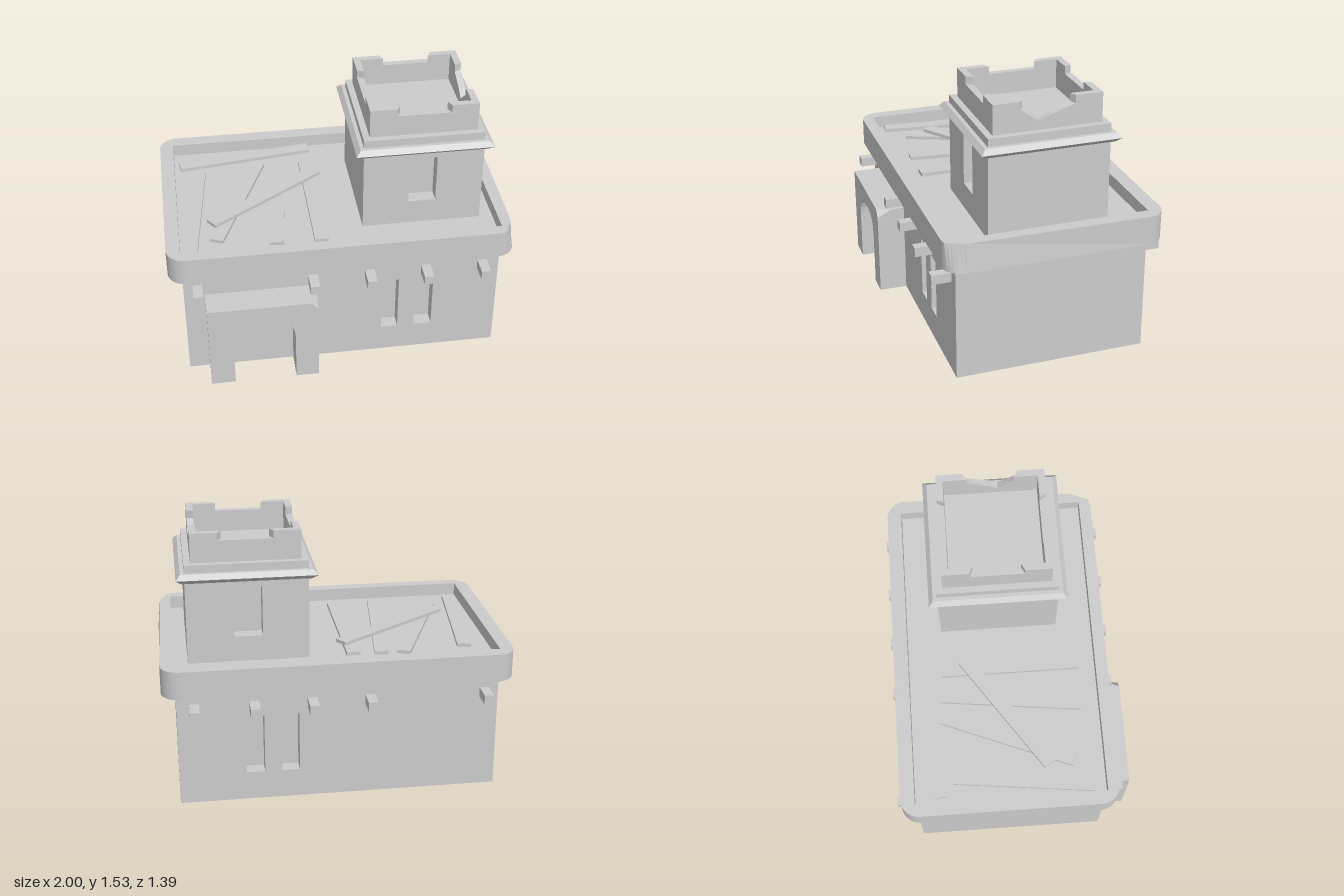
import * as THREE from 'three';

const grey = new THREE.MeshStandardMaterial({ color: 0xcccccc, flatShading: true, side: THREE.DoubleSide });
const PX = 0, NX = 1, PY = 2, NY = 3, PZ = 4, NZ = 5; // box sides

function add(parent, name, geometry, x = 0, y = 0, z = 0) {
  const mesh = new THREE.Mesh(geometry, grey);
  mesh.name = name;
  mesh.position.set(x, y, z);
  parent.add(mesh);
  return mesh;
}

// Box that keeps only the listed sides
function openBox(w, h, d, sides) {
  const g = new THREE.BoxGeometry(w, h, d);
  const index = Array.from(g.index.array);
  g.setIndex(sides.flatMap(s => index.slice(s * 6, s * 6 + 6)));
  g.clearGroups();
  return g;
}

function rectPath(x0, y0, x1, y1, Type = THREE.Path) {
  return new Type([[x0, y0], [x1, y0], [x1, y1], [x0, y1]].map(p => new THREE.Vector2(...p)));
}

// Hollow block whose front and back walls carry recessed windows
function windowedBlock(parent, name, b, windows) {
  const block = new THREE.Group();
  block.name = name;
  parent.add(block);
  const cz = (b.z0 + b.z1) / 2;
  add(block, name + 'Sides', openBox(b.x1 - b.x0, b.y1 - b.y0, b.z1 - b.z0, [PX, NX, PY]),
    (b.x0 + b.x1) / 2, (b.y0 + b.y1) / 2, cz);
  const depth = 0.08;
  for (const front of [true, false]) {
    const shape = rectPath(b.x0, b.y0, b.x1, b.y1, THREE.Shape);
    const z = front ? b.z1 : b.z0;
    for (const [x0, y0, x1, y1] of windows) {
      shape.holes.push(rectPath(x0, y0, x1, y1));
      // recess: inward-facing box without its outer side
      const g = openBox(x1 - x0, y1 - y0, depth, [PX, NX, PY, NY, front ? NZ : PZ]);
      add(block, 'windowRecess', g, (x0 + x1) / 2, (y0 + y1) / 2, z + (front ? -1 : 1) * depth / 2);
    }
    const wall = new THREE.ShapeGeometry(shape);
    if (!front) { // turn the back wall to face -z
      const i = wall.index.array;
      for (let k = 0; k < i.length; k += 3) [i[k], i[k + 1]] = [i[k + 1], i[k]];
      wall.computeVertexNormals();
    }
    add(block, front ? name + 'FrontWall' : name + 'BackWall', wall, 0, 0, z);
  }
}

// Rounded parapet round the main roof, with one worn corner
function roofParapet() {
  const x = 1, z0 = -0.665, z1 = 0.6, r = 0.11;
  const s = new THREE.Shape();
  s.absarc(x - r, -z0 - r, r, 0, Math.PI / 2);
  s.absarc(-x + r, -z0 - r, r, Math.PI / 2, Math.PI);
  s.absarc(-x + r, -z1 + r, r, Math.PI, Math.PI * 1.5);
  s.absarc(x - r, -z1 + r, r, Math.PI * 1.5, Math.PI * 2);
  s.holes.push(rectPath(-0.92, -0.53, 0.92, 0.58));
  const g = new THREE.ExtrudeGeometry(s, { depth: 0.165, bevelEnabled: false, curveSegments: 4 });
  g.rotateX(-Math.PI / 2);
  const p = g.attributes.position;
  for (let i = 0; i < p.count; i++) {
    const over = 0.908 * p.getX(i) + 0.419 * p.getZ(i) - 1.095;
    if (p.getY(i) > 0.1 && over > 0) {
      p.setX(i, p.getX(i) - 0.908 * over);
      p.setZ(i, p.getZ(i) - 0.419 * over);
    }
  }
  g.computeVertexNormals();
  return g;
}

// Arched door surround with a chipped upper corner
function doorSurround() {
  const left = -0.165, right = -0.8, top = 0.545;
  const s = new THREE.Shape();
  s.moveTo(right, 0);
  s.lineTo(-0.66, 0);
  s.lineTo(-0.66, 0.31);
  s.bezierCurveTo(-0.66, 0.4, -0.6, 0.45, -0.53, 0.45);
  s.lineTo(-0.43, 0.45);
  s.bezierCurveTo(-0.36, 0.45, -0.3, 0.4, -0.3, 0.31);
  s.lineTo(-0.3, 0);
  s.lineTo(left, 0);
  s.lineTo(left, 0.5);
  s.lineTo(-0.205, top);
  s.lineTo(right, top);
  const depth = 0.165;
  const g = new THREE.ExtrudeGeometry(s, { depth, steps: 2, bevelEnabled: false, curveSegments: 6 });
  const p = g.attributes.position;
  for (let i = 0; i < p.count; i++) {
    // only the front layer keeps the chip
    if (p.getZ(i) < depth - 0.01 && p.getX(i) > -0.21 && p.getY(i) > 0.49) p.setXY(i, left, top);
  }
  g.computeVertexNormals();
  return g;
}

// One tower parapet wall, mitred by narrowing its inner face
function battlement(notch) {
  const h = 0.31, inner = 0.27;
  const pts = [[-h, 0], [h, 0], [h, 0.17], [0.155, 0.17], ...notch, [-0.155, 0.17], [-h, 0.17]];
  const s = new THREE.Shape(pts.map(p => new THREE.Vector2(...p)));
  const g = new THREE.ExtrudeGeometry(s, { depth: h - inner, bevelEnabled: false });
  g.translate(0, 0, inner);
  const p = g.attributes.position;
  for (let i = 0; i < p.count; i++) if (p.getZ(i) < inner + 0.01) p.setX(i, p.getX(i) * inner / h);
  g.computeVertexNormals();
  return g;
}

export function createModel() {
  const model = new THREE.Group();
  model.name = 'building';

  // Main house, its top being the roof deck
  windowedBlock(model, 'house', { x0: -0.92, x1: 0.92, y0: 0, y1: 0.78, z0: -0.58, z1: 0.53 },
    [[0.23, 0.17, 0.33, 0.525], [0.43, 0.17, 0.535, 0.525]]);
  add(model, 'roofParapet', roofParapet(), 0, 0.69, 0);
  add(model, 'doorSurround', doorSurround(), 0, 0, 0.53);

  // Beam ends poking out of the front and back walls
  for (const x of [-0.84, -0.175, 0.155, 0.485, 0.82]) {
    for (const z of [0.585, -0.6375]) {
      add(model, 'beamEnd', new THREE.BoxGeometry(0.055, 0.055, 0.115), x, 0.593, z);
    }
  }

  // Planks strewn on the deck: x and z of both ends, then height
  const planks = [
    [-0.885, -0.43, -0.07, -0.54, 0.79], [-0.77, -0.35, -0.865, 0.465, 0.79],
    [-0.4, -0.4, -0.71, 0.36, 0.79], [-0.27, -0.395, -0.37, 0.43, 0.79],
    [-0.11, -0.385, -0.11, 0.435, 0.79], [-0.055, -0.25, -0.73, 0.215, 0.81],
  ];
  for (const [xa, za, xb, zb, y] of planks) {
    const length = Math.hypot(xb - xa, zb - za);
    const plank = add(model, 'plank', new THREE.BoxGeometry(0.08, 0.02, length), (xa + xb) / 2, y, (za + zb) / 2);
    plank.rotation.y = Math.atan2(xb - xa, zb - za);
  }

  // Tower
  const tower = new THREE.Group();
  tower.name = 'tower';
  model.add(tower);
  const cx = 0.4925, cz = -0.0275;
  windowedBlock(tower, 'towerBody', { x0: 0.145, x1: 0.84, y0: 0.78, y1: 1.27, z0: -0.375, z1: 0.32 },
    [[0.41, 0.93, 0.57, 1.225]]);

  // Square cornice, upper band and floor as a four-sided lathe
  const profile = [[0.3475, 1.262], [0.365, 1.265], [0.395, 1.292], [0.37, 1.32], [0.3475, 1.32],
    [0.3475, 1.365], [0, 1.365]].map(([r, y]) => new THREE.Vector2(r * Math.SQRT2, y));
  add(tower, 'cornice', new THREE.LatheGeometry(profile, 4, Math.PI / 4), cx, 0, cz);

  // Battlements; the +x wall is broken
  const plain = [[0.155, 0.125], [-0.155, 0.125]];
  const broken = [[0.155, 0.125], [0.02, 0.08], [-0.045, 0.045], [-0.155, 0.125]];
  for (let i = 0; i < 4; i++) {
    const wall = add(tower, 'battlement', battlement(i === 1 ? broken : plain), cx, 1.365, cz);
    wall.rotation.y = i * Math.PI / 2;
  }
  return model;
}
